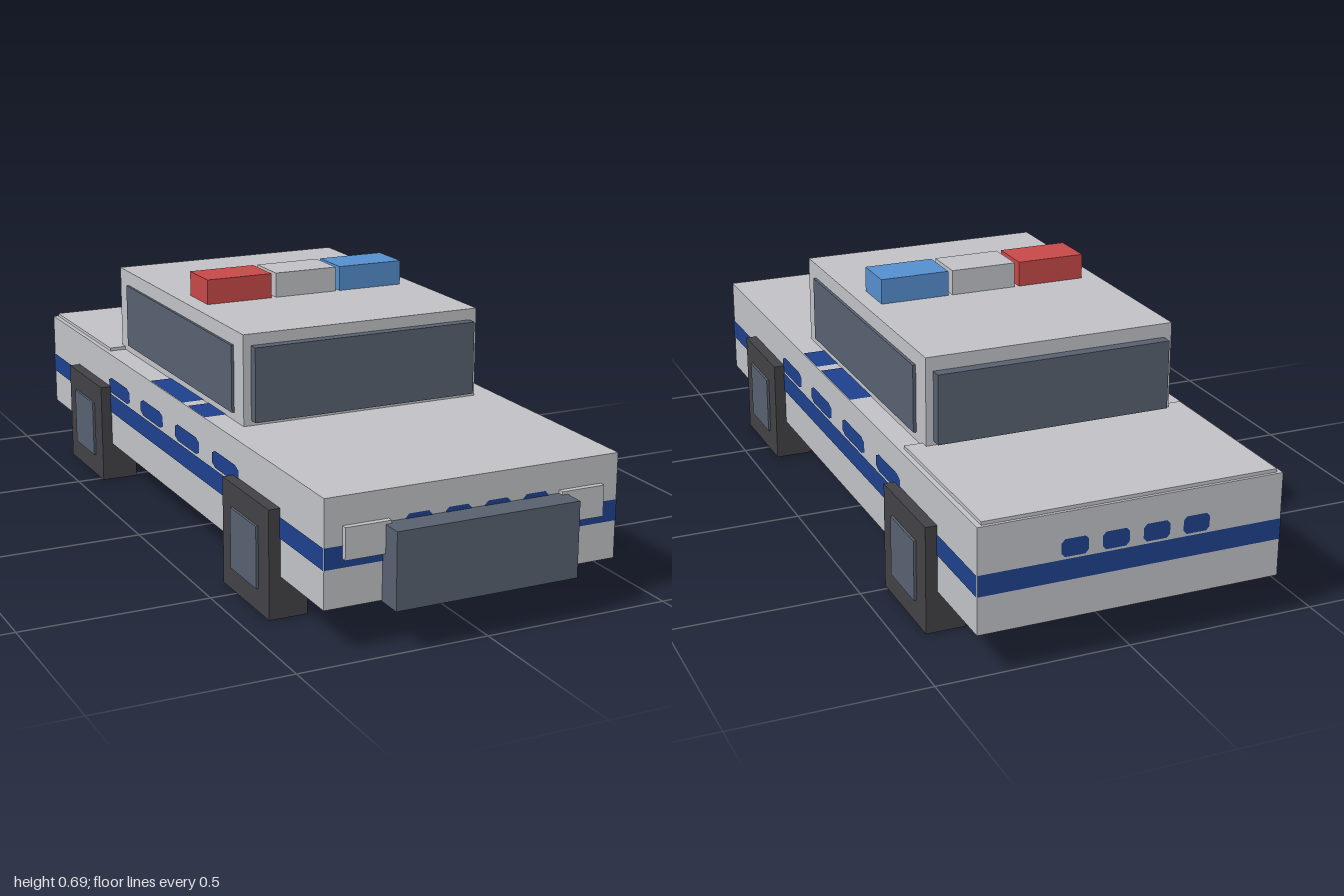
import * as THREE from 'three';

const mat = (name, color) => {
  const m = new THREE.MeshStandardMaterial({ color });
  m.name = name;
  return m;
};

export function createModel() {
  const paint = mat('light grey paint', 0xc1c2c6);
  const glass = mat('slate glass', 0x586170);
  const rubber = mat('dark rubber', 0x424145);
  const navy = mat('navy stripe', 0x1e418d);
  const red = mat('red lamp', 0xc74848);
  const blue = mat('blue lamp', 0x558ecd);

  const car = new THREE.Group();
  car.name = 'patrolCar';

  // Box given by its min and max along each axis
  const box = (name, material, [x0, x1], [y0, y1], [z0, z1], parent = car) => {
    const mesh = new THREE.Mesh(new THREE.BoxGeometry(x1 - x0, y1 - y0, z1 - z0), material);
    mesh.position.set((x0 + x1) / 2, (y0 + y1) / 2, (z0 + z1) / 2);
    mesh.name = name;
    parent.add(mesh);
    return mesh;
  };

  // Body and cabin
  box('body', paint, [-0.398, 0.396], [0.108, 0.38], [-1, 0.93]);
  box('trunkLid', paint, [-0.385, 0.383], [0.37, 0.389], [-0.992, -0.515]);
  box('cabin', paint, [-0.338, 0.335], [0.37, 0.62], [-0.54, 0.345]);

  // Windows
  box('windshield', glass, [-0.317, 0.315], [0.394, 0.59], [0.33, 0.372]);
  box('rearWindow', glass, [-0.317, 0.315], [0.4, 0.583], [-0.57, -0.53]);
  box('rightWindow', glass, [-0.345, -0.33], [0.402, 0.58], [-0.475, 0.285]);
  box('leftWindow', glass, [0.33, 0.343], [0.402, 0.58], [-0.475, 0.285]);

  // Nose
  box('frontBumper', glass, [-0.247, 0.245], [0.105, 0.3], [0.92, 1]);
  box('rightHeadlight', paint, [-0.351, -0.232], [0.228, 0.308], [0.92, 0.945]);
  box('leftHeadlight', paint, [0.23, 0.349], [0.228, 0.308], [0.92, 0.945]);

  // Roof lights
  const bar = new THREE.Group();
  bar.name = 'roofLights';
  car.add(bar);
  [['redLamp', red, -0.291, -0.104], ['middleLamp', paint, -0.091, 0.089], ['blueLamp', blue, 0.101, 0.289]]
    .forEach(([name, m, x0, x1]) => box(name, m, [x0, x1], [0.615, 0.687], [-0.117, 0.004], bar));

  // Square wheels with hub plates
  for (const [side, s] of [['Left', 1], ['Right', -1]]) {
    for (const [end, z] of [['front', 0.555], ['rear', -0.622]]) {
      const wheel = new THREE.Group();
      wheel.name = `${end}${side}Wheel`;
      wheel.position.set(s * 0.376 - 0.001, 0.141, z);
      car.add(wheel);
      box('tyre', rubber, [-0.0515, 0.0515], [-0.141, 0.141], [-0.139, 0.139], wheel);
      const hub = box('hub', glass, [-0.02, 0.02], [-0.08, 0.08], [-0.078, 0.078], wheel);
      hub.position.x = s * 0.038;
    }
  }

  // Livery in face units: u runs left to right, v runs top to bottom, both 0 to 1
  const poly = (pts) => new THREE.Shape(pts.map(([u, v]) => new THREE.Vector2(u - 0.5, 0.5 - v)));
  const band = (v0, v1) => poly([[0, v1], [1, v1], [1, v0], [0, v0]]);
  const dashes = [0.264, 0.397, 0.531, 0.664].map((u) => {
    const w = 0.088, c = 0.011, v0 = 0.25, v1 = 0.417, d = 0.035;
    return poly([
      [u + c, v1], [u + w - c, v1], [u + w, v1 - d], [u + w, v0 + d],
      [u + w - c, v0], [u + c, v0], [u, v0 + d], [u, v1 - d],
    ]);
  });
  const wide = new THREE.ShapeGeometry([band(0.438, 0.56), band(0.578, 0.638), ...dashes]);
  const low = new THREE.ShapeGeometry([band(0.438, 0.638), ...dashes]);

  // One thin layer of livery on each face of the body
  const q = Math.PI / 2;
  const livery = (name, geo, w, h, pos, rx, ry) => {
    const mesh = new THREE.Mesh(geo, navy);
    mesh.name = name;
    mesh.scale.set(w, h, 1);
    mesh.position.set(...pos);
    mesh.rotation.set(rx, ry, 0);
    car.add(mesh);
  };
  const W = 0.794, H = 0.272, L = 1.93, x = -0.001, y = 0.244, z = -0.035, e = 0.002;
  livery('frontLivery', low, W, H, [x, y, 0.93 + e], 0, 0);
  livery('rearLivery', low, W, H, [x, y, -1 - e], 0, 2 * q);
  livery('leftLivery', low, L, H, [0.396 + e, y, z], 0, q);
  livery('rightLivery', low, L, H, [-0.398 - e, y, z], 0, -q);
  livery('topLivery', wide, W, L, [x, 0.38 + e, z], -q, 0);
  livery('undersideLivery', wide, W, L, [x, 0.108 - e, z], q, 0);

  return car;
}
